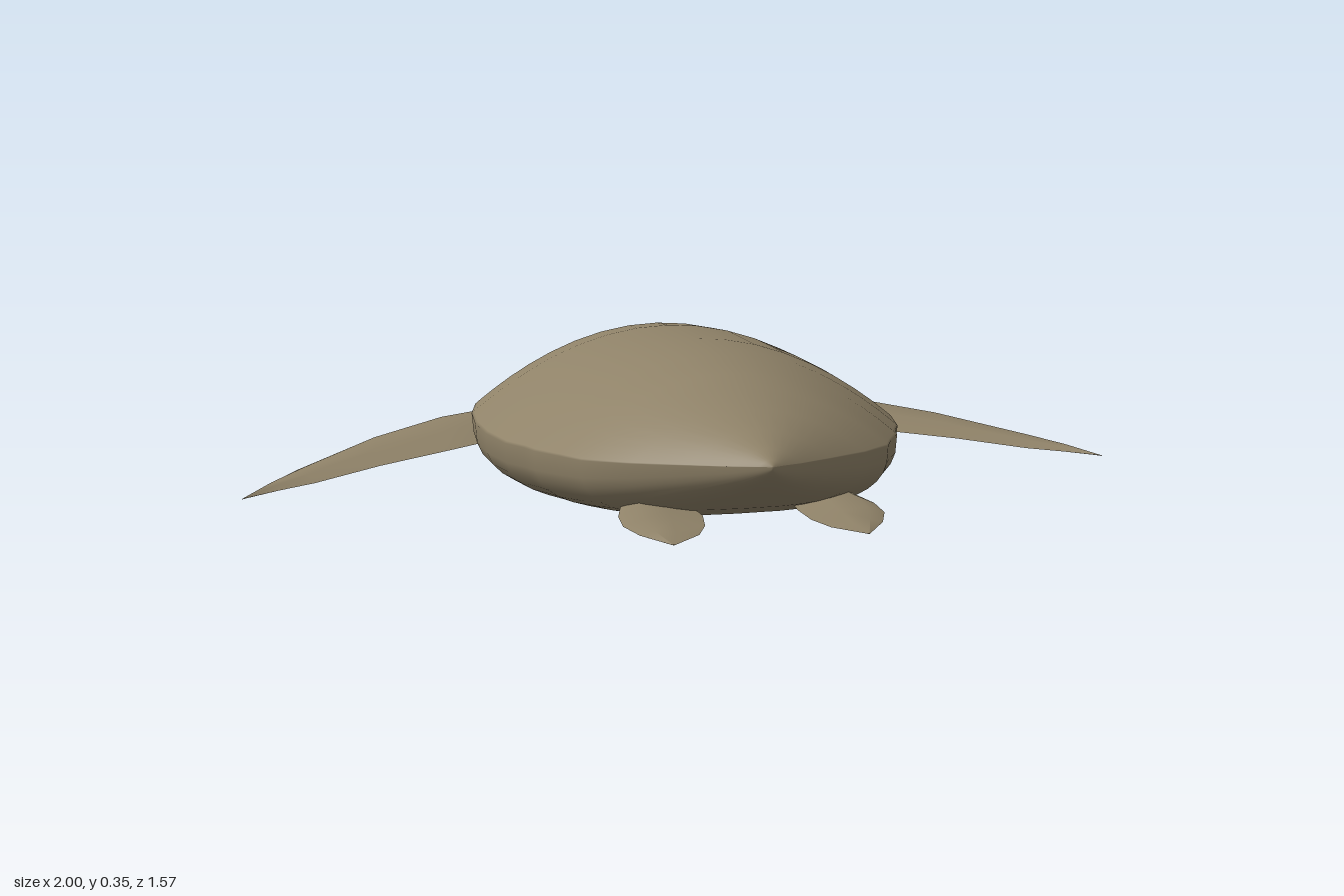
import * as THREE from 'three';
import { toCreasedNormals } from 'three/addons/utils/BufferGeometryUtils.js';

// Skin a list of closed rings (arrays of [x, y, z]) and close both ends.
function loft(rings, flip = false) {
  const n = rings[0].length, pos = [], index = [];
  const tri = (a, b, c) => (flip ? index.push(a, c, b) : index.push(a, b, c));
  rings.forEach(r => r.forEach(p => pos.push(...p)));
  for (let i = 0; i < rings.length - 1; i++) {
    for (let j = 0; j < n; j++) {
      const k = (j + 1) % n, a = i * n + j, b = i * n + k;
      tri(a, b, a + n);
      tri(b, b + n, a + n);
    }
  }
  const last = (rings.length - 1) * n;
  for (let j = 1; j < n - 1; j++) {
    tri(0, j + 1, j);
    tri(last, last + j, last + j + 1);
  }
  const g = new THREE.BufferGeometry();
  g.setAttribute('position', new THREE.Float32BufferAttribute(pos, 3));
  g.setIndex(index);
  g.computeVertexNormals();
  return g;
}

// Section across z: half width w, widest at y = rim, with separate top and bottom curves.
function section([z, w, rim, top, bottom], topPower, bottomPower, xPower, n = 40) {
  return Array.from({ length: n }, (_, j) => {
    const a = (j / n) * Math.PI * 2, c = Math.cos(a), s = Math.sin(a);
    const up = j <= n / 2;
    const x = Math.sign(c) * Math.pow(Math.abs(c), up ? 1 : xPower);
    const y = up ? rim + (top - rim) * Math.pow(Math.abs(s), topPower)
      : rim - (rim - bottom) * Math.pow(Math.abs(s), bottomPower);
    return [x * w, y, z];
  });
}

// Thin blade: each row is leading edge, trailing edge and thickness.
function blade(rows, side) {
  const rings = rows.map(([lead, trail, t]) =>
    [[0, 0], [0.25, 1], [0.6, 0.7], [1, 0], [0.6, -0.5], [0.25, -0.6]].map(([f, h]) => [
      side * (lead[0] + (trail[0] - lead[0]) * f),
      lead[1] + (trail[1] - lead[1]) * f + h * t,
      lead[2] + (trail[2] - lead[2]) * f
    ]));
  return toCreasedNormals(loft(rings, side < 0), 0.9);
}

export function createModel() {
  const group = new THREE.Group();
  const skin = new THREE.MeshStandardMaterial({ color: 0x8f8268 });
  skin.name = 'olive brown';
  const add = (name, geometry) => {
    const m = new THREE.Mesh(geometry, skin);
    m.name = name;
    group.add(m);
    return m;
  };

  // Shell: z, half width, rim height, top, bottom
  const shell = [
    [-0.55, 0.04, 0.19, 0.2, 0.175], [-0.545, 0.11, 0.185, 0.22, 0.16],
    [-0.525, 0.205, 0.18, 0.24, 0.14], [-0.46, 0.3, 0.17, 0.275, 0.09],
    [-0.36, 0.39, 0.165, 0.315, 0.04], [-0.25, 0.443, 0.16, 0.34, 0.02],
    [-0.13, 0.468, 0.16, 0.351, 0.009], [0, 0.477, 0.16, 0.352, 0.005],
    [0.12, 0.47, 0.16, 0.355, 0.006], [0.24, 0.445, 0.16, 0.35, 0.011],
    [0.31, 0.415, 0.163, 0.345, 0.016], [0.36, 0.402, 0.165, 0.338, 0.021],
    [0.44, 0.36, 0.168, 0.328, 0.03], [0.51, 0.33, 0.172, 0.309, 0.043],
    [0.6, 0.25, 0.18, 0.28, 0.075], [0.68, 0.15, 0.188, 0.252, 0.115],
    [0.74, 0.07, 0.194, 0.227, 0.15], [0.77, 0.025, 0.198, 0.21, 0.175],
    [0.78, 0.003, 0.198, 0.2, 0.19]
  ];
  add('shell', loft(shell.map(r => section(r, 2, 2 / 3, 2 / 3))));

  // Head and neck, from beak to body
  const head = [
    [-0.79, 0.006, 0.09, 0.105, 0.075], [-0.777, 0.016, 0.095, 0.124, 0.07],
    [-0.75, 0.031, 0.102, 0.15, 0.058], [-0.715, 0.046, 0.11, 0.17, 0.051],
    [-0.68, 0.057, 0.113, 0.178, 0.05], [-0.64, 0.062, 0.113, 0.178, 0.052],
    [-0.6, 0.058, 0.111, 0.172, 0.054], [-0.56, 0.05, 0.11, 0.165, 0.055],
    [-0.5, 0.055, 0.105, 0.155, 0.053], [-0.42, 0.08, 0.095, 0.14, 0.043],
    [-0.34, 0.1, 0.09, 0.13, 0.038], [-0.28, 0.06, 0.085, 0.11, 0.05]
  ];
  add('headAndNeck', loft(head.map(r => section(r, 1, 1, 1, 20))));

  for (const side of [1, -1]) {
    const label = side > 0 ? 'left' : 'right';

    // Eye bump
    const eye = add(label + 'Eye', new THREE.SphereGeometry(0.013, 12, 8));
    eye.position.set(side * 0.043, 0.138, -0.7);
    eye.scale.x = 0.6;

    // Long front flipper sweeping back
    add(label + 'FrontFlipper', blade([
      [[0.33, 0.115, -0.36], [0.36, 0.09, -0.19], 0.02],
      [[0.41, 0.115, -0.355], [0.46, 0.085, -0.13], 0.028],
      [[0.52, 0.108, -0.33], [0.53, 0.08, -0.095], 0.026],
      [[0.69, 0.088, -0.23], [0.69, 0.066, -0.03], 0.02],
      [[0.87, 0.063, -0.05], [0.84, 0.05, 0.045], 0.011],
      [[0.94, 0.052, 0.04], [0.92, 0.045, 0.08], 0.007],
      [[1, 0.04, 0.125], [0.995, 0.04, 0.122], 0.001]
    ], side));

    // Short rear flipper
    add(label + 'RearFlipper', blade([
      [[0.23, 0.078, 0.45], [0.11, 0.075, 0.48], 0.018],
      [[0.27, 0.072, 0.6], [0.1, 0.07, 0.62], 0.02],
      [[0.272, 0.066, 0.66], [0.11, 0.064, 0.68], 0.016],
      [[0.25, 0.06, 0.715], [0.135, 0.06, 0.735], 0.009],
      [[0.2, 0.055, 0.783], [0.195, 0.055, 0.783], 0.001]
    ], side));
  }
  return group;
}
